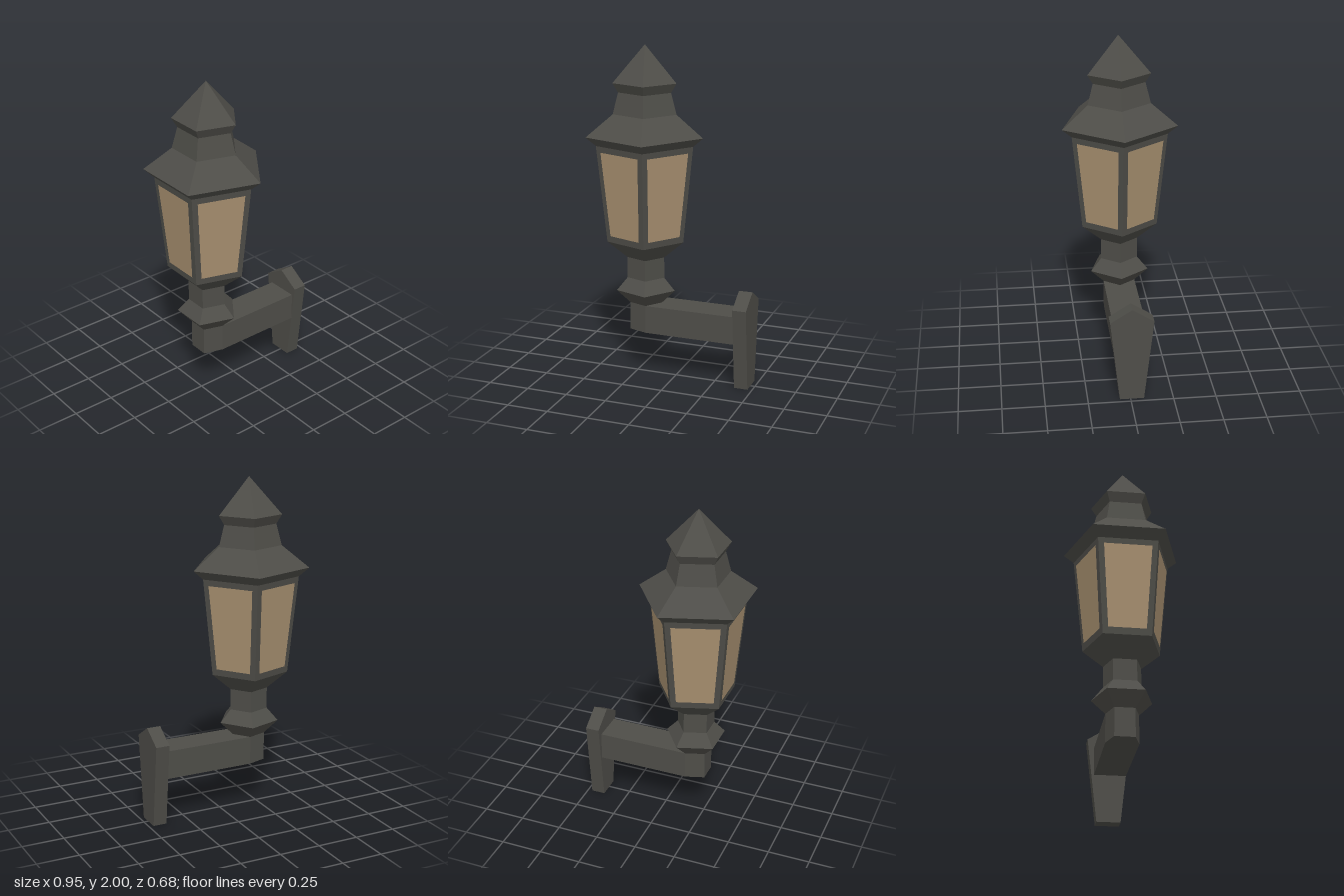
import * as THREE from 'three';

const SIDES = 5;
const AXIS_X = -0.19; // vertical axis of the lantern
const metal = new THREE.MeshStandardMaterial({ color: 0x4e4d48, flatShading: true });
const glass = new THREE.MeshStandardMaterial({ color: 0xa89070, flatShading: true, side: THREE.DoubleSide });

function addMesh(parent, name, geometry, material = metal) {
  const mesh = new THREE.Mesh(geometry, material);
  mesh.name = name;
  parent.add(mesh);
  return mesh;
}

// Five-sided turned part with one corner pointing to +x; profile runs bottom to top as [radius, y]
function turned(profile) {
  const points = profile.map(([r, y]) => new THREE.Vector2(r, y));
  return new THREE.LatheGeometry(points, SIDES, Math.PI / 2);
}

function extruded(outline, depth) {
  const shape = new THREE.Shape(outline.map(([x, y]) => new THREE.Vector2(x, y)));
  return new THREE.ExtrudeGeometry(shape, { depth, bevelEnabled: false });
}

const HOUSING = { y0: 0.845, r0: 0.235, y1: 1.425, r1: 0.295 };

// Flat pane set just proud of one tapered side of the housing
function paneGeometry(side) {
  const border = 0.034;
  const corner = (isEnd, y) => {
    const t = (y - HOUSING.y0) / (HOUSING.y1 - HOUSING.y0);
    const r = THREE.MathUtils.lerp(HOUSING.r0, HOUSING.r1, t) + 0.003;
    const at = (k) => {
      const a = (k * Math.PI * 2) / SIDES;
      return new THREE.Vector3(r * Math.cos(a), y, r * Math.sin(a));
    };
    const a = at(side), b = at(side + 1);
    const inset = border / a.distanceTo(b);
    return a.lerp(b, isEnd ? 1 - inset : inset);
  };
  const corners = [corner(true, 0.885), corner(false, 0.885), corner(false, 1.39), corner(true, 1.39)];
  const geometry = new THREE.BufferGeometry().setFromPoints(corners);
  geometry.setIndex([0, 1, 2, 0, 2, 3]);
  geometry.computeVertexNormals();
  return geometry;
}

export function createModel() {
  const model = new THREE.Group();
  model.name = 'wallLantern';

  const lantern = new THREE.Group();
  lantern.name = 'lantern';
  lantern.position.x = AXIS_X;
  model.add(lantern);

  // Collar, neck and flared cup under the housing
  addMesh(lantern, 'stem', turned([
    [0.1, 0.455], [0.182, 0.538], [0.115, 0.613], [0.115, 0.74], [HOUSING.r0, HOUSING.y0],
  ]));

  // Tapered housing with a pane on every side
  addMesh(lantern, 'housing', turned([[HOUSING.r0, HOUSING.y0], [HOUSING.r1, HOUSING.y1]]));
  for (let i = 0; i < SIDES; i++) addMesh(lantern, 'glassPane', paneGeometry(i), glass);

  // Overhanging roof, chimney and pointed cap
  addMesh(lantern, 'roof', turned([
    [HOUSING.r1, HOUSING.y1], [0.355, 1.478], [0.193, 1.605], [0.16, 1.73],
  ]));
  addMesh(lantern, 'cap', turned([[0.16, 1.73], [0.193, 1.785], [0, 2]]));

  // Arm whose free end follows the five-sided stem
  const arm = addMesh(model, 'arm', extruded([
    [0.4, -0.095], [0.4, 0.095], [-0.159, 0.095], [-0.271, 0.059], [-0.271, -0.059], [-0.159, -0.095],
  ], 0.17));
  arm.rotation.x = -Math.PI / 2;
  arm.position.y = 0.285;

  // Tapered wall plate with a peaked top
  const plate = addMesh(model, 'wallPlate', extruded([
    [-0.071, 0], [0.071, 0], [0.127, 0.505], [0, 0.585], [-0.127, 0.505],
  ], 0.083));
  plate.rotation.y = Math.PI / 2;
  plate.position.set(0.39, 0, -0.008);

  return model;
}
